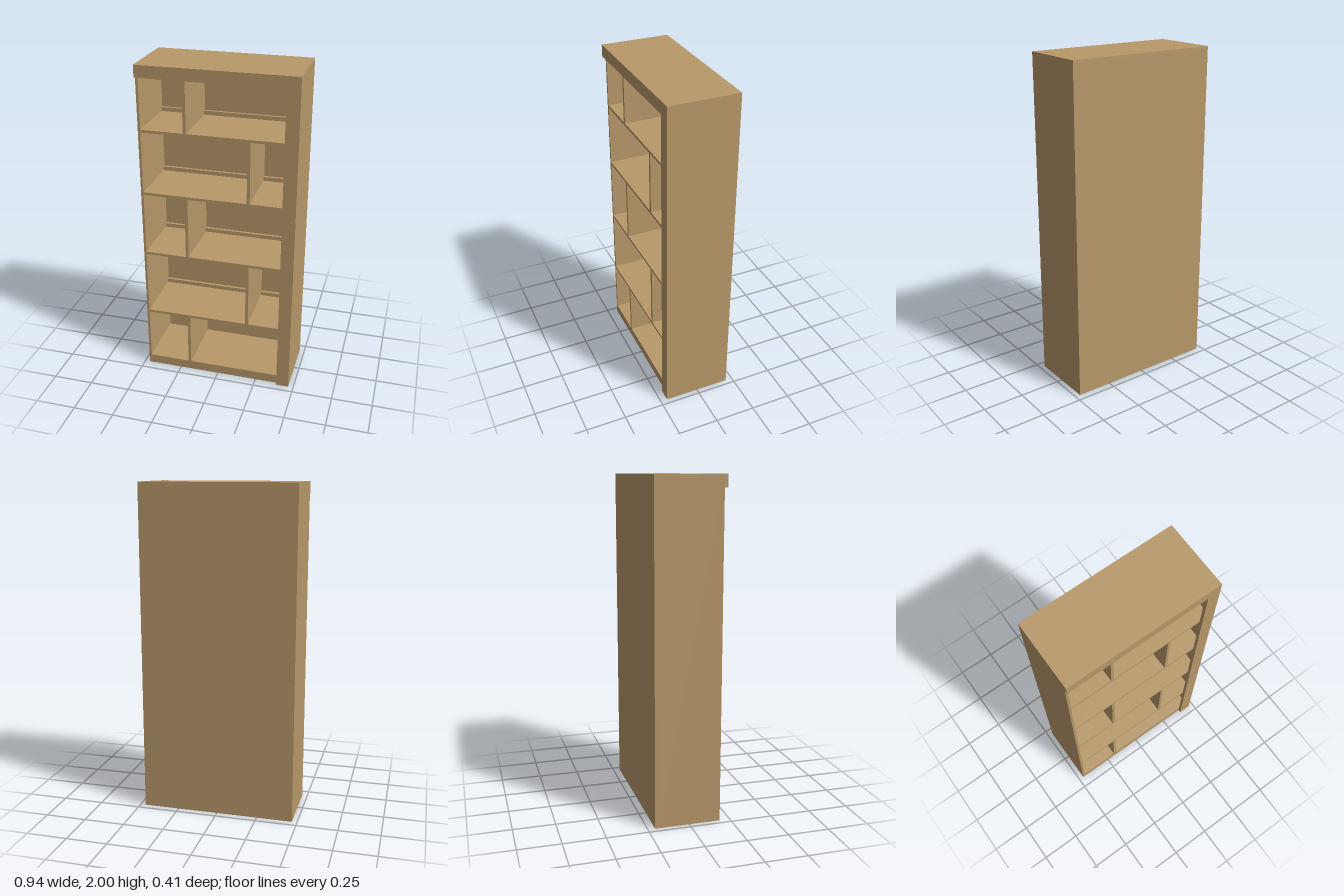
import * as THREE from 'three';

export function createModel() {
  const group = new THREE.Group();
  group.name = 'bookcase';
  const oak = new THREE.MeshStandardMaterial({ color: 0xb8996a });
  oak.name = 'oak';

  // Board given by its extents along x, y and z
  const board = (name, x0, x1, y0, y1, z0, z1) => {
    const mesh = new THREE.Mesh(new THREE.BoxGeometry(x1 - x0, y1 - y0, z1 - z0), oak);
    mesh.position.set((x0 + x1) / 2, (y0 + y1) / 2, (z0 + z1) / 2);
    mesh.name = name;
    group.add(mesh);
  };

  const W = 0.468, inner = 0.453; // outer and inner half width
  const back = -0.207, wall = -0.19, front = 0.187, face = 0.207;
  const baseTop = 0.058, roof = 1.982;

  // Carcass
  board('rightSide', -W, -inner, 0, roof, wall, front);
  board('leftSide', inner, W, 0, roof, wall, front);
  board('topPanel', -W, W, roof, 2, back, front);
  board('backPanel', -W, W, 0, roof, back, wall);
  board('base', -inner, inner, 0, baseTop, wall, front);

  // Front trim: rail across the top and one wide stile
  board('topRail', -W, W, 1.928, 2, front, face);
  board('stile', 0.39, W, 0, 1.928, front, face);

  // Shelves, with cleats along the back wall
  const shelfTops = [0.41, 0.83, 1.23, 1.62];
  const thick = 0.016, cleat = 0.025;
  shelfTops.forEach((y, i) => {
    board('shelf', -inner, inner, y - thick, y, wall, front);
    board('upperCleat', -inner, inner, y, y + cleat, wall, wall + 0.018);
    if (i > 0) board('lowerCleat', -inner, inner, y - thick - cleat, y - thick, wall, wall + 0.018);
  });

  // Dividers alternate from side to side
  const floors = [baseTop, ...shelfTops];
  floors.forEach((y, i) => {
    const x = i % 2 ? 0.186 : -0.189;
    const top = i < 4 ? shelfTops[i] - thick : roof;
    board('divider', x - 0.009, x + 0.009, y, top, wall, front);
  });

  return group;
}
